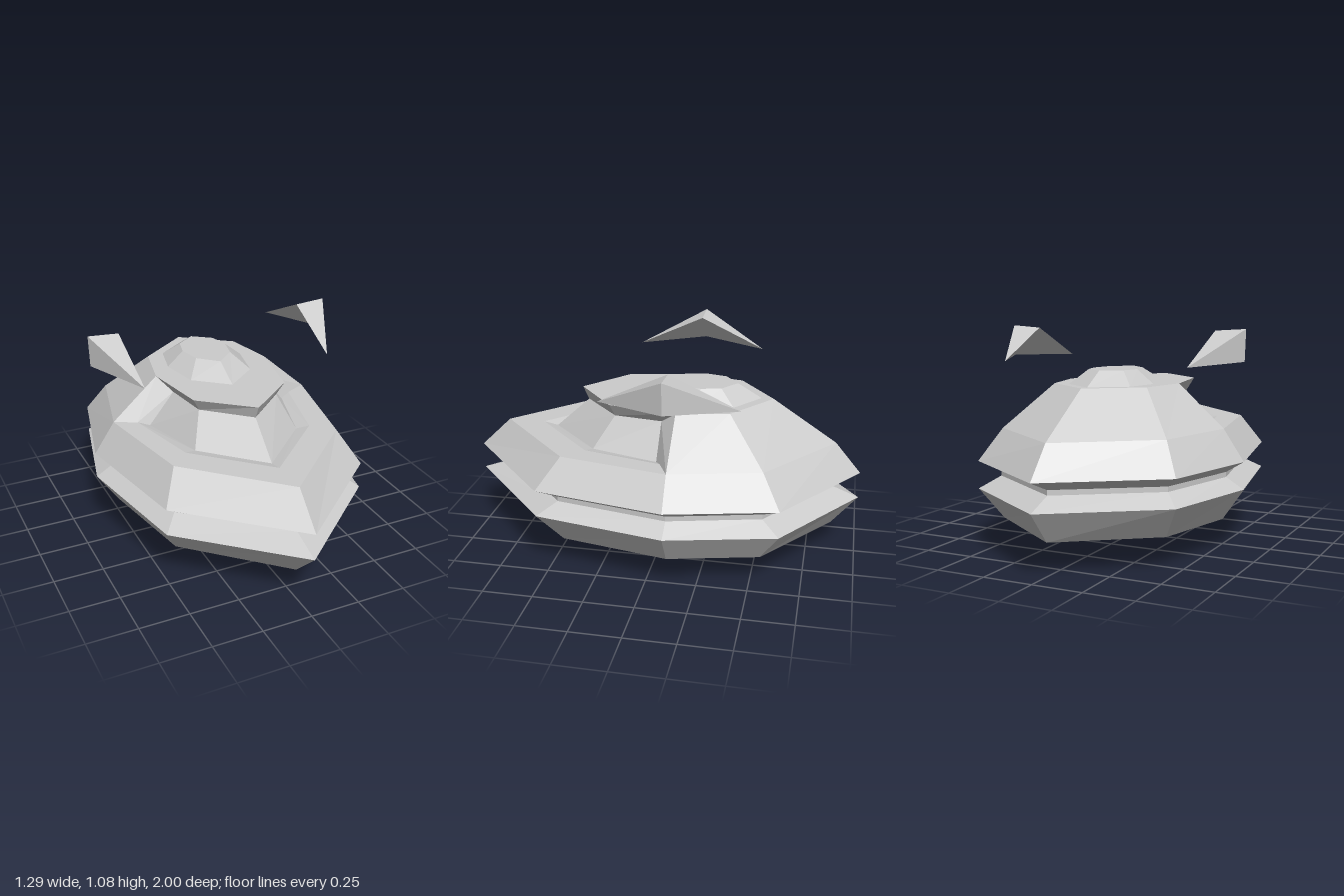
import * as THREE from 'three';

const material = new THREE.MeshStandardMaterial({ color: 0xcccccc, flatShading: true, side: THREE.DoubleSide });

// Eight-sided outline: front, front corner, side, back corner, back, then mirrored
function ring(y, front, fc, side, bc, back) {
  const [p, q, r] = [fc, side, bc];
  return [[0, front], p, q, r, [0, back], [-r[0], r[1]], [-q[0], q[1]], [-p[0], p[1]]]
    .map(([x, z]) => [x, y, z]);
}

const ALL = [0, 1, 2, 3, 4, 5, 6, 7];
const FRONT = [6, 7, 0, 1];
const BACK = [2, 3, 4, 5];

// Quads joining two outlines along the chosen sides
const loft = (a, b, sides = ALL) => sides.map((i) => {
  const j = (i + 1) % 8;
  return [a[i], a[j], b[j], b[i]];
});

const mirrored = (faces) => faces.map((f) => f.map(([x, y, z]) => [-x, y, z]).reverse());

// Flat-shaded mesh from convex polygons
function part(name, faces) {
  const pos = [];
  for (const f of faces) {
    for (let i = 1; i < f.length - 1; i++) pos.push(...f[0], ...f[i], ...f[i + 1]);
  }
  const geometry = new THREE.BufferGeometry();
  geometry.setAttribute('position', new THREE.Float32BufferAttribute(pos, 3));
  geometry.computeVertexNormals();
  const mesh = new THREE.Mesh(geometry, material);
  mesh.name = name;
  return mesh;
}

export function createModel() {
  const group = new THREE.Group();
  group.name = 'saucerBase';

  const wide = (y) => ring(y, 1, [0.52, 0.54], [0.645, -0.11], [0.52, -0.64], -1);
  const inset = (y) => ring(y, 0.84, [0.435, 0.43], [0.54, -0.11], [0.435, -0.55], -0.87);
  const waist = (y) => ring(y, 0.83, [0.445, 0.45], [0.555, -0.11], [0.445, -0.555], -0.86);

  // Lower hull: keel point, two flared bands and a narrow waist between them
  const keel = ALL.map(() => [0, 0, -0.11]);
  const levels = [keel, inset(0.155), wide(0.31), waist(0.365), waist(0.39), wide(0.445), inset(0.6)];
  const hull = [];
  for (let i = 0; i < levels.length - 1; i++) hull.push(...loft(levels[i], levels[i + 1]));
  group.add(part('hull', hull));

  // Upper deck: solid slope at the back, recessed neck under an overhang at the front
  const rim = inset(0.6);
  const plate = ring(0.81, 0.43, [0.245, 0.23], [0.305, -0.11], [0.25, -0.365], -0.55);
  const neckTop = ring(0.745, 0.4, [0.21, 0.21], [0.245, -0.03], [0.2, -0.3], -0.5);
  const neckFoot = ring(0.585, 0.575, [0.275, 0.31], [0.375, -0.03], [0.3, -0.3], -0.5);
  const ledge = ring(0.6, 0.65, [0.335, 0.335], [0.43, -0.058], [0.3, -0.3], -0.5);
  group.add(part('rearShell', loft(rim, plate, BACK)));
  group.add(part('frontLedge', [...loft(rim, ledge, FRONT), ...loft(ledge, neckFoot, FRONT)]));
  group.add(part('neck', loft(neckFoot, neckTop, FRONT)));
  group.add(part('topPlate', [...loft(neckTop, plate, FRONT), plate]));

  // Walls closing the rear shell where the recess begins
  const wall = [[rim[2], plate[2], neckTop[2], neckFoot[2], ledge[2]]];
  group.add(part('recessWalls', [...wall, ...mirrored(wall)]));

  // Faceted dome on top
  const domeFoot = ring(0.81, 0.145, [0.165, 0.01], [0.205, -0.195], [0.165, -0.37], -0.49);
  const domeTop = ring(0.88, 0.005, [0.095, -0.085], [0.12, -0.2], [0.095, -0.3], -0.37);
  group.add(part('dome', [...loft(domeFoot, domeTop), domeTop]));

  // Floating chevron fins: two slim spikes sharing a middle triangle
  const tip = [0.645, 1.08, -0.11];
  const inner = [0.49, 1.07, -0.11];
  const lower = [0.64, 0.925, -0.11];
  const fore = [0.485, 0.915, 0.225];
  const aft = [0.485, 0.915, -0.445];
  const fin = [
    [tip, inner, fore], [tip, fore, lower], [inner, lower, fore],
    [tip, aft, inner], [tip, lower, aft], [inner, aft, lower],
  ];
  group.add(part('leftFin', fin));
  group.add(part('rightFin', mirrored(fin)));

  return group;
}
